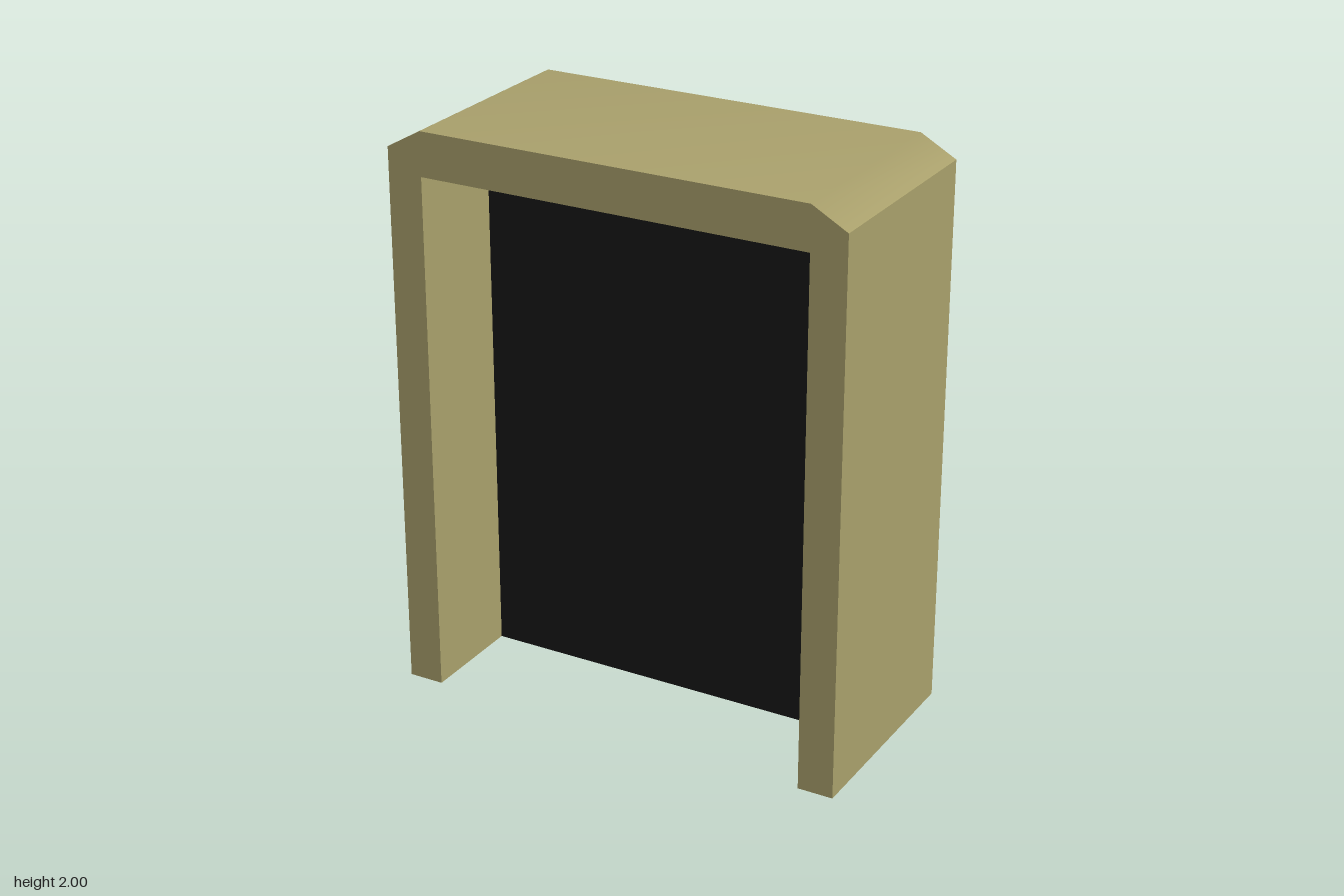
import * as THREE from 'three';

const W = 0.817, IN = 0.692, D = 0.385;          // outer half width, opening half width, half depth
const H = 2, SHOULDER = 1.93, OPEN = 1.847;      // top, start of the chamfer, opening height

export function createModel() {
  const group = new THREE.Group();
  const tan = new THREE.MeshStandardMaterial({ color: 0xa89f6b, side: THREE.DoubleSide });
  const black = new THREE.MeshStandardMaterial({ color: 0x171717, side: THREE.DoubleSide });

  function add(name, geometry, material = tan) {
    const mesh = new THREE.Mesh(geometry, material);
    mesh.name = name;
    group.add(mesh);
    return mesh;
  }

  // Front face: chamfered surround, open at the bottom
  const outline = [
    [-W, 0], [-IN, 0], [-IN, OPEN], [IN, OPEN], [IN, 0],
    [W, 0], [W, SHOULDER], [IN, H], [-IN, H], [-W, SHOULDER],
  ].map(([x, y]) => new THREE.Vector2(x, y));
  add('frontSurround', new THREE.ShapeGeometry(new THREE.Shape(outline))).position.z = D;

  // Roof: one sheet bent down at both ends, shaded smoothly across the bends
  const roof = new THREE.PlaneGeometry(2 * W, 2 * D, 3, 1).rotateX(-Math.PI / 2);
  const xs = [-W, -IN, IN, W], ys = [SHOULDER, H, H, SHOULDER];
  const p = roof.attributes.position;
  for (let i = 0; i < p.count; i++) {
    p.setX(i, xs[i % 4]);
    p.setY(i, ys[i % 4]);
  }
  roof.computeVertexNormals();
  add('roof', roof);

  for (const [side, s] of [['left', 1], ['right', -1]]) {
    // Outer wall, full depth
    const wall = new THREE.PlaneGeometry(2 * D, SHOULDER).rotateY(s * Math.PI / 2);
    add(side + 'Wall', wall).position.set(s * W, SHOULDER / 2, 0);

    // Jamb from the front face back to the panel, facing the opening
    const jamb = new THREE.PlaneGeometry(D, OPEN).rotateY(-s * Math.PI / 2);
    add(side + 'Jamb', jamb).position.set(s * IN, OPEN / 2, D / 2);

    // Foot strip under the wall
    const foot = new THREE.PlaneGeometry(W - IN, 2 * D).rotateX(Math.PI / 2);
    add(side + 'Foot', foot).position.set(s * (W + IN) / 2, 0, 0);
  }

  // Underside of the lintel, facing down into the opening
  const soffit = new THREE.PlaneGeometry(2 * IN, D).rotateX(Math.PI / 2);
  add('soffit', soffit).position.set(0, OPEN, D / 2);

  // Dark panel halfway back in the opening
  add('darkPanel', new THREE.PlaneGeometry(2 * IN, OPEN), black).position.y = OPEN / 2;

  return group;
}
